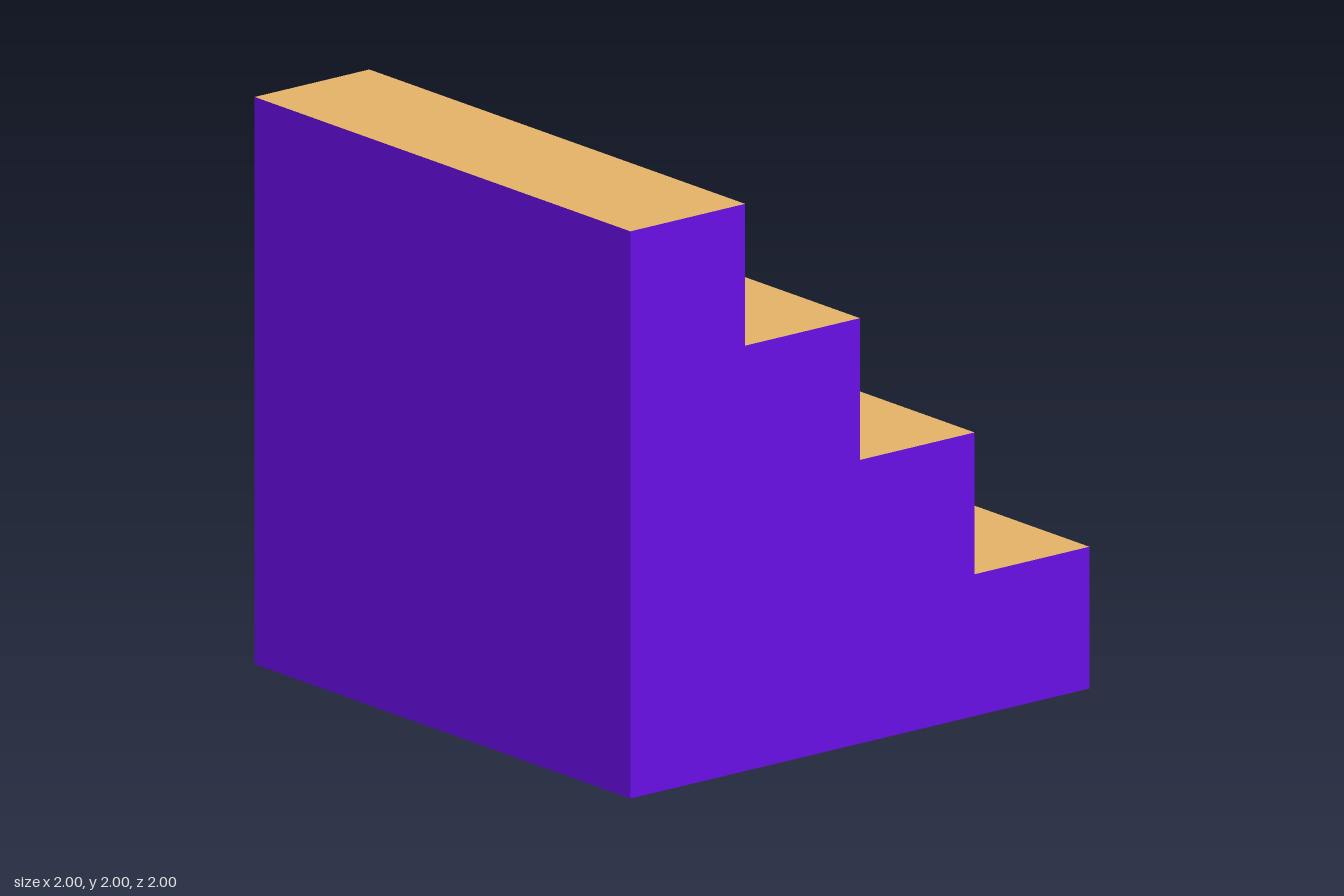
import * as THREE from 'three';

const STEPS = 4, STRIPES = 11, SIZE = 2;
const RUN = SIZE / STEPS, BAND = SIZE / STRIPES, HALF = SIZE / 2;

export function createModel() {
  const model = new THREE.Group();
  model.name = 'staircase';
  const purple = new THREE.MeshStandardMaterial({ color: 0x6a0fe6 });
  const tan = new THREE.MeshStandardMaterial({ color: 0xe6b368 });
  const grey = new THREE.MeshStandardMaterial({ color: 0xcccccc });

  function add(name, geometry, material, position, rotation = [0, 0, 0], parent = model) {
    const mesh = new THREE.Mesh(geometry, material);
    mesh.name = name;
    mesh.position.set(...position);
    mesh.rotation.set(...rotation);
    parent.add(mesh);
  }

  // Stepped side walls, highest at -x
  const profile = new THREE.Shape();
  profile.moveTo(-HALF, 0);
  profile.lineTo(HALF, 0);
  for (let i = 0; i < STEPS; i++) {
    const x = HALF - i * RUN, y = (i + 1) * RUN;
    profile.lineTo(x, y);
    profile.lineTo(x - RUN, y);
  }
  const wall = new THREE.ShapeGeometry(profile);
  const backWall = wall.clone().scale(1, 1, -1);
  const index = backWall.index.array; // turn the mirrored faces outward
  for (let i = 0; i < index.length; i += 3) [index[i], index[i + 1]] = [index[i + 1], index[i]];
  backWall.computeVertexNormals();
  add('frontWall', wall, purple, [0, 0, HALF]);
  add('backWall', backWall, purple, [0, 0, -HALF]);

  // Tall end wall and underside
  const square = new THREE.PlaneGeometry(SIZE, SIZE);
  add('endWall', square, purple, [-HALF, HALF, 0], [0, -Math.PI / 2, 0]);
  add('underside', square, purple, [0, 0, 0], [Math.PI / 2, 0, 0]);

  // Treads and striped risers
  const tread = new THREE.PlaneGeometry(RUN, SIZE);
  const stripe = new THREE.PlaneGeometry(BAND, RUN);
  for (let i = 0; i < STEPS; i++) {
    const step = new THREE.Group();
    step.name = `step${i + 1}`;
    step.position.set(HALF - i * RUN, i * RUN, 0);
    model.add(step);
    add('tread', tread, tan, [-RUN / 2, RUN, 0], [-Math.PI / 2, 0, 0], step);
    for (let j = 0; j < STRIPES; j++) {
      const z = HALF - (j + 0.5) * BAND;
      add('riserStripe', stripe, j % 2 ? grey : purple, [0, RUN / 2, z], [0, Math.PI / 2, 0], step);
    }
  }
  return model;
}
